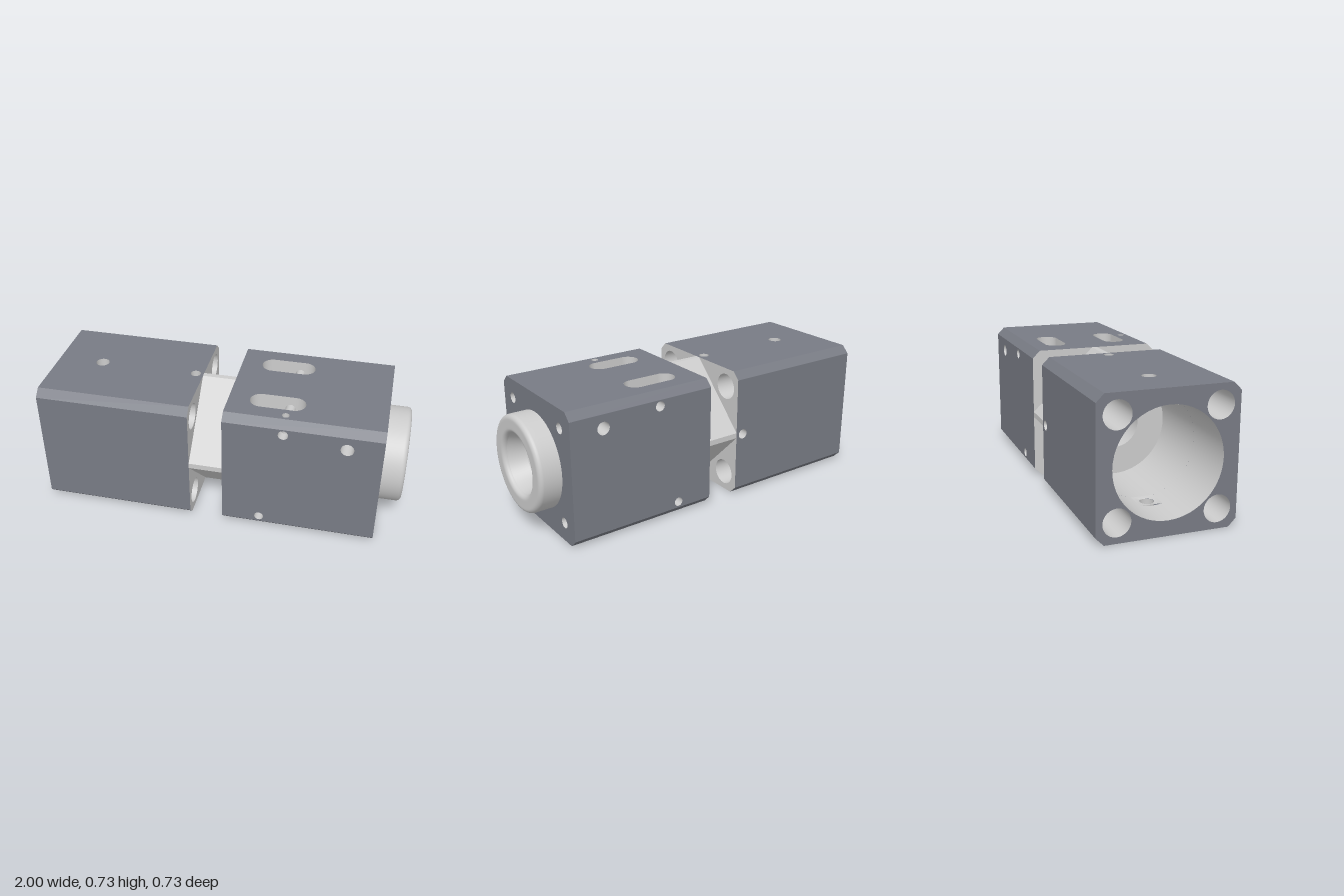
import * as THREE from 'three';

const H = 0.365, C = 0.041, BORE = 0.133, BIG = 0.285, Q = Math.PI / 2;
const dark = new THREE.MeshStandardMaterial({ color: 0x787b84, side: THREE.DoubleSide });
const grey = new THREE.MeshStandardMaterial({ color: 0xcccccc, side: THREE.DoubleSide });

function add(parent, name, geo, mat = grey) {
  const m = new THREE.Mesh(geo, mat);
  m.name = name;
  parent.add(m);
  return m;
}

// round hole, or a slot when half length l is given
function holePath({ x, t, r, l = 0 }) {
  const p = new THREE.Path();
  if (!l) return p.absarc(x, t, r, 0, 4 * Q, false);
  p.absarc(x + l, t, r, -Q, Q, false);
  return p.absarc(x - l, t, r, Q, 3 * Q, false);
}

// open wall that follows an outline from z0 to z1
function wall(pts, z0, z1) {
  const pos = [], idx = [];
  pts.forEach((p) => pos.push(p.x, p.y, z0, p.x, p.y, z1));
  for (let i = 0; i < pts.length - 1; i++) {
    const a = 2 * i;
    idx.push(a, a + 2, a + 1, a + 1, a + 2, a + 3);
  }
  const g = new THREE.BufferGeometry();
  g.setAttribute('position', new THREE.Float32BufferAttribute(pos, 3));
  g.setIndex(idx);
  g.computeVertexNormals();
  return g;
}

function polygon(pts) {
  return new THREE.Shape(pts.map(([x, y]) => new THREE.Vector2(x, y)));
}
const rect = (x0, x1, y0, y1) => polygon([[x0, y0], [x1, y0], [x1, y1], [x0, y1]]);

// flat plate at local z = dist, with holes lined to depth d and optionally floored
function plate(parent, name, shape, dist, holes, mat) {
  const g = new THREE.Group();
  g.name = name;
  holes.forEach((h) => shape.holes.push(holePath(h)));
  add(g, name + 'Plate', new THREE.ShapeGeometry(shape, 24), mat).position.z = dist;
  for (const h of holes) {
    if (!h.d) continue;
    add(g, 'holeWall', wall(holePath(h).getPoints(24), dist - h.d, dist));
    if (h.cap) add(g, 'holeFloor', new THREE.CircleGeometry(h.r, 32)).position.set(h.x, h.t, dist - h.d);
  }
  parent.add(g);
  return g;
}

// surface of revolution about the x axis; points are [radius, x]
function turned(parent, name, pts, start = 0, length = 4 * Q) {
  const geo = new THREE.LatheGeometry(pts.map(([r, x]) => new THREE.Vector2(r, x)), 64, start, length);
  add(parent, name, geo.rotateZ(-Q));
}

function block(parent, name, x0, x1, sides) {
  const g = new THREE.Group();
  g.name = name;
  const angles = { front: 0, top: -Q, back: 2 * Q, bottom: Q };
  for (const [side, holes] of Object.entries(sides)) {
    plate(g, side + 'Side', rect(x0, x1, C - H, H - C), H, holes, dark).rotation.x = angles[side];
  }
  for (let i = 0; i < 4; i++) {
    const geo = new THREE.PlaneGeometry(x1 - x0, C * Math.SQRT2);
    geo.translate((x0 + x1) / 2, 0, (2 * H - C) / Math.SQRT2).rotateX(Q / 2 + i * Q);
    add(g, 'chamfer', geo, dark);
  }
  parent.add(g);
  return g;
}

function endPlate(parent, name, x, dir, holes, mat) {
  const k = H - C;
  const s = polygon([[-k, -H], [k, -H], [H, -k], [H, k], [k, H], [-k, H], [-H, k], [-H, -k]]);
  plate(parent, name, s, x * dir, holes, mat).rotation.y = dir * Q;
}

const corners = (o) => [[1, 1], [-1, 1], [-1, -1], [1, -1]].map(([a, b]) => ({ x: a * 0.26, t: b * 0.26, ...o }));

export function createModel() {
  const root = new THREE.Group();
  root.name = 'opticalHousing';
  const body = new THREE.Group();
  body.name = 'body';
  body.position.y = H;
  root.add(body);

  // rear block
  const pin = { x: -0.2, t: 0, r: 0.028, d: 0.1, cap: true };
  const cross = { x: -0.745, t: 0, r: 0.037, d: 0.08 };
  const rear = block(body, 'rearBlock', -1, -0.155, {
    front: [], top: [pin, cross], back: [pin], bottom: [pin, cross],
  });
  endPlate(rear, 'rearEnd', -1, -1, [{ x: 0, t: 0, r: BIG }, ...corners({ r: 0.072 })], dark);
  endPlate(rear, 'rearInnerEnd', -0.155, 1, [{ x: 0, t: 0, r: BORE }, ...corners({ r: 0.072, d: 0.845 })], grey);

  // wide bore, pierced above and below by the cross hole
  turned(rear, 'wideBore', [[BIG, -1], [BIG, -0.805]]);
  turned(rear, 'wideBore', [[BIG, -0.685], [BIG, -0.3]]);
  turned(rear, 'boreStep', [[BIG, -0.3], [BORE, -0.3]]);
  const a = Math.acos(0.06 / BIG);
  for (const s of [0, 1]) {
    turned(rear, 'wideBore', [[BIG, -0.805], [BIG, -0.685]], s * 2 * Q - a, 2 * a);
    const shape = rect(-0.805, -0.685, -0.06, 0.06);
    shape.holes.push(holePath(cross));
    const geo = new THREE.ShapeGeometry(shape, 24), p = geo.attributes.position;
    for (let i = 0; i < p.count; i++) p.setZ(i, Math.sqrt(BIG * BIG - p.getY(i) ** 2));
    geo.computeVertexNormals();
    add(rear, 'borePatch', geo.rotateX(s ? Q : -Q));
  }

  // diamond neck between the blocks
  const e = 0.015;
  const diamond = polygon([[e, H], [-e, H], [-H, e], [-H, -e], [-e, -H], [e, -H], [H, -e], [H, e], [e, H]]);
  const neck = wall(diamond.getPoints(), -0.155, 0.03).toNonIndexed();
  neck.computeVertexNormals();
  add(body, 'neck', neck.rotateY(Q));

  // front block
  const slots = [-0.18, 0.18].map((t) => ({ x: 0.295, t, r: 0.06, l: 0.09 }));
  const upper = { x: 0.355, t: 0.29, r: 0.027 }, lower = { x: 0.24, t: -0.29, r: 0.025 };
  const blind = { x: 0.69, t: 0.25, r: 0.035, d: 0.1, cap: true };
  const flip = (h) => ({ ...h, t: -h.t });
  const small = { x: 0.355, t: 0.29, r: 0.02 };
  const main = block(body, 'frontBlock', 0.03, 0.877, {
    front: [{ ...upper, d: 0.055 }, { ...lower, d: 0.125 }, blind],
    back: [flip({ ...upper, d: 0.125 }), flip({ ...lower, d: 0.125 }), flip(blind)],
    top: [...slots, { ...flip(small), d: 0.05 }],
    bottom: [...slots, { ...small, d: 0.628 }],
  });
  endPlate(main, 'mountingEnd', 0.877, 1, [{ x: 0, t: 0, r: 0.2 }, ...corners({ r: 0.029, d: 0.15, cap: true })], dark);
  endPlate(main, 'frontInnerEnd', 0.03, -1, [{ x: 0, t: 0, r: BORE }], grey);

  // inner runs of the cross holes
  add(main, 'crossHoleWall', wall(holePath(upper).getPoints(24), 0.24, 0.27));
  for (const h of [upper, lower]) add(main, 'crossHoleWall', wall(holePath(h).getPoints(24), -0.12, 0.12));

  // slot walls
  for (const s of slots) {
    for (const side of [-1, 1]) {
      const end = new THREE.CylinderGeometry(s.r, s.r, 2 * H, 24, 1, true, side > 0 ? 0 : 2 * Q, 2 * Q);
      add(main, 'slotEnd', end).position.set(s.x + side * s.l, 0, s.t);
      const shape = rect(s.x - s.l, s.x + s.l, -H, H);
      shape.holes.push(holePath(upper), holePath(lower));
      add(main, 'slotSide', new THREE.ShapeGeometry(shape, 24)).position.z = s.t + side * s.r;
    }
  }

  // narrow bore, open where the slots graze it
  turned(main, 'bore', [[BORE, -0.3], [BORE, 0.205]]);
  turned(main, 'bore', [[BORE, 0.385], [BORE, 0.88]]);
  const b = Math.acos(0.12 / BORE);
  for (const s of [0, 1]) turned(main, 'bore', [[BORE, 0.205], [BORE, 0.385]], s * 2 * Q + b, 2 * Q - 2 * b);

  // rounded collar with a tapered mouth
  const collar = [[0.263, 0.87], [0.263, 0.95]];
  for (let i = 0; i <= 6; i++) {
    const t = (i / 6) * Q;
    collar.push([0.238 + 0.025 * Math.cos(t), 0.975 + 0.025 * Math.sin(t)]);
  }
  collar.push([0.23, 1], [0.2, 1]);
  for (let i = 0; i <= 6; i++) {
    const t = Q + (i / 6) * Q;
    collar.push([0.19 + 0.025 * Math.cos(t), 0.975 + 0.025 * Math.sin(t)]);
  }
  turned(body, 'collar', collar);
  turned(body, 'collarMouth', [[0.165, 0.975], [BORE, 0.88]]);
  return root;
}
